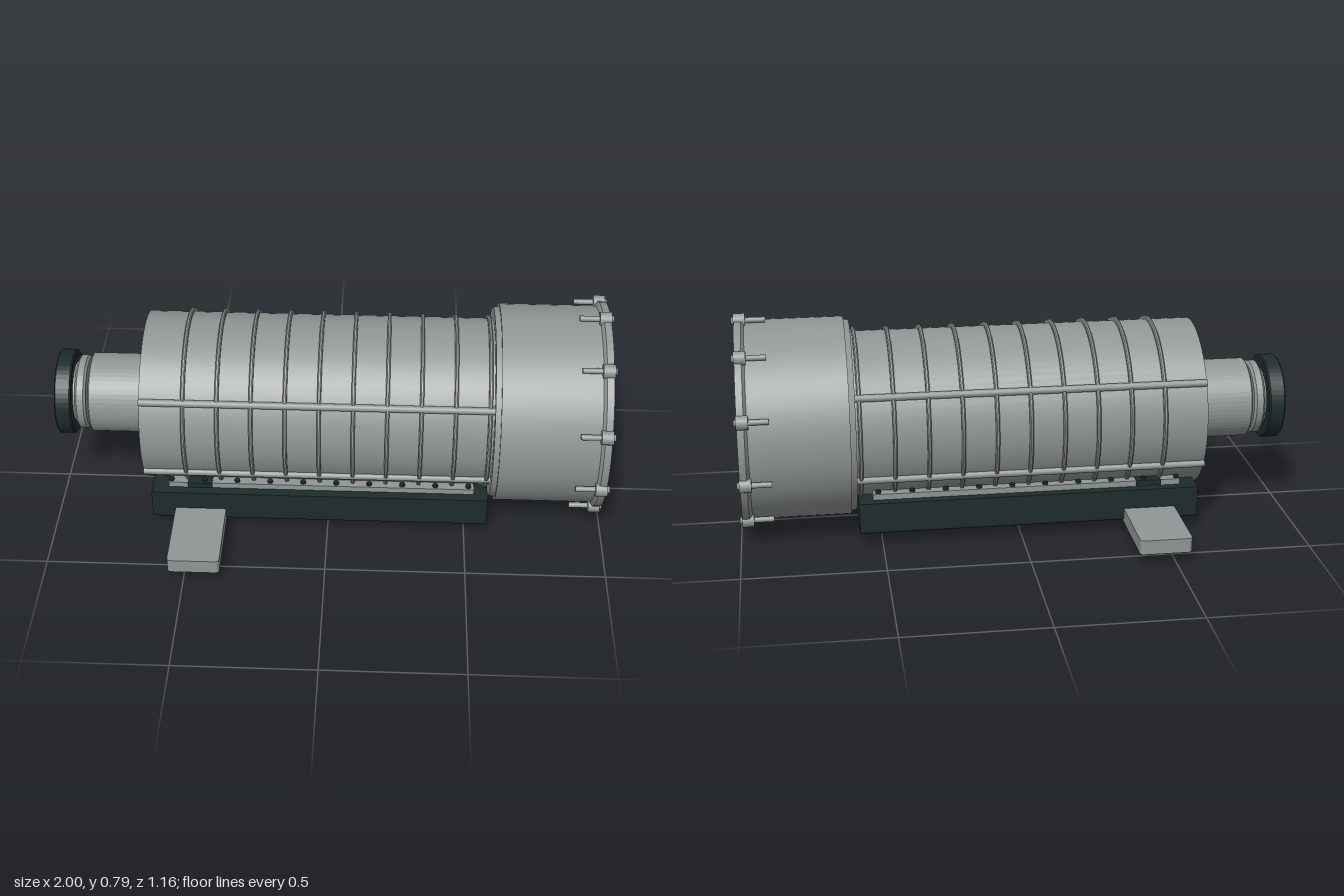
import * as THREE from 'three';
import { toCreasedNormals } from 'three/addons/utils/BufferGeometryUtils.js';

const AXIS = 0.4; // height of the main axis

export function createModel() {
  const model = new THREE.Group();
  model.name = 'motorAssembly';
  const gray = new THREE.MeshStandardMaterial({ name: 'steelGray', color: 0x909795 });
  const dark = new THREE.MeshStandardMaterial({ name: 'darkGreenBlack', color: 0x1e2c2c });

  const add = (name, geo, mat, parent = model) => {
    const mesh = new THREE.Mesh(geo, mat);
    mesh.name = name;
    parent.add(mesh);
    return mesh;
  };
  // Revolved part about the main axis; profile points are [x, radius]
  const turn = (name, profile, mat, seg = 72) => {
    const geo = new THREE.LatheGeometry(profile.map(([x, r]) => new THREE.Vector2(r, x)), seg);
    geo.rotateZ(-Math.PI / 2);
    const mesh = add(name, toCreasedNormals(geo, 0.1), mat);
    mesh.position.y = AXIS;
    return mesh;
  };
  // Cylinder lying along x from x0 to x1
  const rod = (name, x0, x1, r, y, z, mat, seg = 16) => {
    const geo = new THREE.CylinderGeometry(r, r, x1 - x0, seg).rotateZ(-Math.PI / 2);
    add(name, geo, mat).position.set((x0 + x1) / 2, y, z);
  };
  const around = (n, r, start, fn) => {
    for (let i = 0; i < n; i++) {
      const a = start + (i * 2 * Math.PI) / n;
      fn(AXIS + r * Math.sin(a), r * Math.cos(a), a);
    }
  };

  // Main housing: a sleeve open at the shaft end
  turn('housingSleeve', [[0.6, 0.29], [-0.665, 0.29], [-0.665, 0.305], [0.6, 0.305]].map((p) => p), gray);
  for (let i = 0; i < 10; i++) {
    const x = -0.51 + i * 0.12;
    turn('coolingRib', [[x - 0.007, 0.304], [x - 0.007, 0.315], [x - 0.003, 0.318],
      [x + 0.003, 0.318], [x + 0.007, 0.315], [x + 0.007, 0.304]], gray);
  }
  for (const s of [-1, 1]) for (const t of [-1, 1]) {
    rod('housingRail', -0.665, 0.59, 0.013, AXIS + t * 0.153, s * 0.268, gray);
  }

  // End drum with bolt flange and recessed face
  turn('endDrum', [[0.585, 0], [0.585, 0.345], [0.605, 0.35], [0.605, 0.36], [0.955, 0.36],
    [0.965, 0.375], [0.99, 0.375], [0.99, 0.335], [0.985, 0.31], [0.945, 0.31], [0.945, 0.303],
    [0.952, 0.303], [0.955, 0.295], [0.955, 0.052]], gray);
  turn('hub', [[0.95, 0.054], [0.964, 0.053], [0.966, 0.05], [0.966, 0.03], [0.92, 0.03], [0.92, 0]], gray, 40);
  around(10, 0.029, 0, (y, z) => rod('splineTooth', 0.92, 0.964, 0.004, y, z, gray, 8));
  around(7, 0.2, Math.PI / 2, (y, z) => {
    const ring = add('faceMark', new THREE.TorusGeometry(0.018, 0.0015, 4, 16).rotateY(Math.PI / 2), gray);
    ring.position.set(0.955, y, z);
  });

  // Ten bolts around the flange
  around(10, 0.372, Math.PI / 2, (y, z) => {
    rod('boltShank', 0.88, 0.96, 0.01, y, z, gray);
    rod('boltBoss', 0.95, 0.992, 0.025, y, z, gray, 20);
    rod('boltHead', 0.985, 1.0, 0.013, y, z, gray, 6);
  });

  // Shaft tube and coupling
  turn('shaftTube', [[-0.875, 0], [-0.875, 0.14], [-0.87, 0.145], [0.585, 0.145]], gray, 56);
  turn('couplingCollar', [[-0.885, 0], [-0.885, 0.075], [-0.872, 0.075], [-0.872, 0]], dark, 40);
  turn('couplingPlate', [[-0.925, 0], [-0.925, 0.125], [-0.917, 0.135], [-0.893, 0.135],
    [-0.885, 0.125], [-0.885, 0]], gray, 48);
  turn('couplingNeck', [[-0.94, 0], [-0.94, 0.11], [-0.92, 0.11], [-0.92, 0]], gray, 40);
  turn('couplingFlange', [[-0.965, 0], [-0.965, 0.06], [-0.995, 0.06], [-0.995, 0.15],
    [-0.99, 0.155], [-0.94, 0.155], [-0.935, 0.15], [-0.935, 0]], dark, 56);
  around(8, 0.11, 0, (y, z) => rod('couplingBolt', -1.0, -0.99, 0.014, y, z, gray, 12));

  // Cradle tray, hollowed to follow the housing
  const cut = 0.303, top = 0.165, half = 0.29, low = 0.05;
  const edge = Math.asin((AXIS - top) / cut);
  const section = new THREE.Shape();
  section.moveTo(-half + 0.012, low);
  section.lineTo(half - 0.012, low);
  section.quadraticCurveTo(half, low, half, low + 0.012);
  section.lineTo(half, top);
  section.lineTo(cut * Math.cos(edge), top);
  section.absarc(0, AXIS, cut, -edge, -Math.PI + edge, true);
  section.lineTo(-half, top);
  section.lineTo(-half, low + 0.012);
  section.quadraticCurveTo(-half, low, -half + 0.012, low);
  const tray = new THREE.ExtrudeGeometry(section, { depth: 1.22, bevelEnabled: false, curveSegments: 24 });
  tray.rotateY(Math.PI / 2);
  add('cradleTray', tray, dark).position.x = -0.64;

  // Clamp strips and screws on both sides of the tray
  for (const s of [-1, 1]) {
    add('clampStrip', new THREE.BoxGeometry(1.11, 0.022, 0.06), gray).position.set(-0.025, 0.175, s * 0.225);
    add('terminalBlock', new THREE.BoxGeometry(0.09, 0.02, 0.05), dark).position.set(-0.465, 0.178, s * 0.235);
    for (let i = 0; i < 10; i++) {
      const x = -0.57 + i * 0.12;
      const screw = new THREE.CylinderGeometry(0.01, 0.01, 0.012, 12);
      add('traySideScrew', screw, dark).position.set(x, 0.189, s * 0.24);
      add('trayBaseScrew', screw, dark).position.set(x, 0.049, s * 0.262);
    }
  }

  // Cross foot with rounded corners
  const w = 0.0925, l = 0.58, r = 0.015;
  const foot = new THREE.Shape();
  foot.absarc(w - r, l - r, r, 0, Math.PI / 2);
  foot.absarc(-w + r, l - r, r, Math.PI / 2, Math.PI);
  foot.absarc(-w + r, -l + r, r, Math.PI, Math.PI * 1.5);
  foot.absarc(w - r, -l + r, r, Math.PI * 1.5, Math.PI * 2);
  const footGeo = new THREE.ExtrudeGeometry(foot, { depth: 0.052, bevelEnabled: false, curveSegments: 6 });
  footGeo.rotateX(-Math.PI / 2);
  add('crossFoot', footGeo, gray).position.set(-0.4625, 0.043, 0);

  return model;
}
